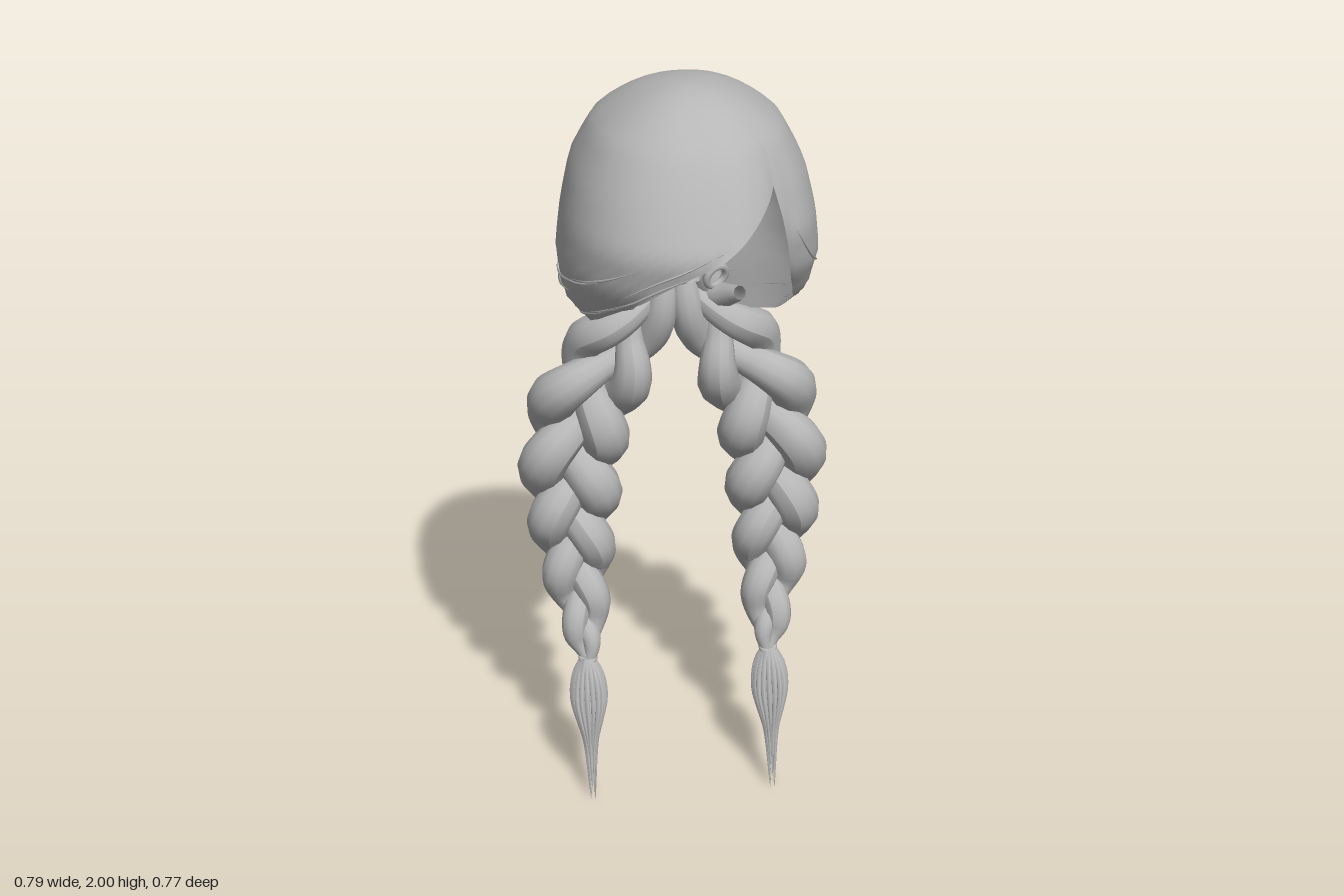
import * as THREE from 'three';

const hair = new THREE.MeshStandardMaterial({ color: 0xb6b6b6, side: THREE.DoubleSide });
hair.name = 'grey hair';

// Linear lookup in rows of [key, a, b, ...] with rising keys
function lookup(rows, key) {
  let i = 0;
  while (i < rows.length - 2 && key > rows[i + 1][0]) i++;
  const a = rows[i], b = rows[i + 1];
  const t = THREE.MathUtils.clamp((key - a[0]) / (b[0] - a[0]), 0, 1);
  return a.slice(1).map((v, j) => v + (b[j + 1] - v) * t);
}

// Surface from a grid of points, (cols + 1) x (rows + 1)
function gridGeometry(cols, rows, pointAt) {
  const pos = [], index = [];
  for (let i = 0; i <= cols; i++) {
    for (let j = 0; j <= rows; j++) {
      pos.push(...pointAt(i / cols, j / rows).toArray());
      if (i < cols && j < rows) {
        const a = i * (rows + 1) + j, b = a + rows + 1;
        index.push(a, a + 1, b, b, a + 1, b + 1);
      }
    }
  }
  const g = new THREE.BufferGeometry();
  g.setAttribute('position', new THREE.Float32BufferAttribute(pos, 3));
  g.setIndex(index);
  g.computeVertexNormals();
  return g;
}

// Round strand along a list of points, radius varying with t
function strandGeometry(points, steps, sides, radiusAt) {
  const curve = new THREE.CatmullRomCurve3(points);
  const g = new THREE.TubeGeometry(curve, steps, 1, sides, false);
  const p = g.attributes.position, v = new THREE.Vector3();
  for (let i = 0; i <= steps; i++) {
    const c = curve.getPointAt(i / steps), r = radiusAt(i / steps);
    for (let j = 0; j <= sides; j++) {
      const k = i * (sides + 1) + j;
      v.fromBufferAttribute(p, k).sub(c).multiplyScalar(r).add(c);
      p.setXYZ(k, v.x, v.y, v.z);
    }
  }
  g.computeVertexNormals();
  return g;
}

function add(parent, name, geometry) {
  const m = new THREE.Mesh(geometry, hair);
  m.name = name;
  parent.add(m);
  return m;
}

// Cap sections: depth below crown, half width, front z, back z
const sections = [
  [0, 0, 0.06, 0.06], [0.03, 0.115, 0.18, -0.1], [0.1, 0.21, 0.265, -0.225],
  [0.2, 0.262, 0.33, -0.305], [0.3, 0.285, 0.38, -0.326], [0.4, 0.297, 0.355, -0.32],
  [0.5, 0.285, 0.26, -0.3], [0.6, 0.222, 0.14, -0.305], [0.66, 0.168, 0.04, -0.325], [0.72, 0.115, -0.08, -0.335],
].map(([d, ...r]) => [Math.sqrt(d), ...r]);

// Height of the rim by angle from the front, starting and ending at the parting
const rim = [
  [40, 1.82], [52, 1.6], [66, 1.465], [95, 1.35], [140, 1.3], [180, 1.28], [220, 1.3],
  [265, 1.35], [290, 1.42], [312, 1.49], [329, 1.56], [345, 1.63], [368, 1.71], [400, 1.82],
];

// How far the hair is drawn in beside the parting, by the same angle
const tuck = [[40, 0.06], [52, 0.14], [66, 0.08], [85, 0], [375, 0], [400, 0.06]];

function capPoint(u, v, swell = 1) {
  const deg = 40 + 360 * u, a = THREE.MathUtils.degToRad(deg);
  const drop = (2 - lookup(rim, deg)[0]) * (1 - Math.cos(v * Math.PI / 2));
  const [w, front, back] = lookup(sections, Math.sqrt(drop));
  const zc = (front + back) / 2, d = (front - back) / 2;
  const s = swell * (1 - v * v * lookup(tuck, deg)[0]);
  const pow = (t) => Math.sign(t) * Math.abs(t) ** 0.87;
  return new THREE.Vector3(w * s * pow(Math.sin(a)), 2 - drop, zc + d * s * pow(Math.cos(a)));
}

function buildCap() {
  const cap = new THREE.Group();
  cap.name = 'hairCap';
  add(cap, 'capShell', gridGeometry(96, 28, (u, v) => capPoint(u, v)));
  // Loose hairs lying along the lower edge
  for (let i = 0; i < 26; i++) {
    const u0 = 0.04 + (i * 0.618 % 1) * 0.78, v0 = 0.8 + (i * 0.37 % 1) * 0.17;
    const pts = [0, 1, 2, 3].map((k) => capPoint(u0 + k * 0.035, v0 + k * 0.01, 1.008 + 0.004 * (i % 3)));
    add(cap, 'looseHair', strandGeometry(pts, 10, 4, (t) => 0.0025 * Math.sin(Math.PI * t) + 0.0003));
  }
  return cap;
}

// Centre line of the left braid
const braidLine = new THREE.CatmullRomCurve3([
  [0.035, 1.39, -0.27], [0.11, 1.25, -0.265], [0.2, 1.1, -0.285], [0.25, 0.95, -0.295],
  [0.26, 0.8, -0.295], [0.253, 0.6, -0.28], [0.24, 0.45, -0.22], [0.235, 0.365, -0.18],
].map((p) => new THREE.Vector3(...p)));

const spread = [[0, 0.03], [0.1, 0.05], [0.2, 0.075], [0.33, 0.08], [0.55, 0.072], [0.8, 0.047], [0.95, 0.024], [1, 0.005]];
const fullness = [[0, 0.035], [0.2, 0.048], [0.35, 0.058], [0.6, 0.058], [0.8, 0.046], [0.95, 0.029], [1, 0.014]];

function buildBraid(side) {
  const braid = new THREE.Group();
  braid.name = side > 0 ? 'leftBraid' : 'rightBraid';
  const angle = (s, k) => 2 * Math.PI * (-2 + 5 * s + 1.4 * s * s - k) / 3;

  // Three woven strands
  for (let k = 0; k < 3; k++) {
    const pts = [];
    for (let i = 0; i <= 40; i++) {
      const s = i / 40, a = angle(s, k), [w] = lookup(spread, s);
      const c = braidLine.getPointAt(s), t = braidLine.getTangentAt(s);
      const out = new THREE.Vector3(-t.y, t.x, 0).normalize();
      c.addScaledVector(out, w * Math.cos(a));
      c.z -= 0.46 * w * Math.sin(2 * a);
      pts.push(new THREE.Vector3(c.x * side, c.y, c.z));
    }
    add(braid, 'braidStrand', strandGeometry(pts, 110, 12,
      (s) => lookup(fullness, s)[0] * (0.8 + 0.28 * Math.abs(Math.cos(angle(s, k))))));
  }

  // Hair tie
  const tie = add(braid, 'hairTie', new THREE.TorusGeometry(0.017, 0.008, 8, 16));
  tie.position.set(0.235 * side, 0.367, -0.181);
  tie.rotation.x = Math.PI / 2 + 0.4;

  // Tassel: a slim core wrapped in fine locks of uneven length
  const lock = (r, a, end) => [
    [0.365, -0.18, 0.25], [0.325, -0.167, 0.8], [0.265, -0.15, 1], [0.2, -0.125, 0.65], [0.16, -0.112, 0.4],
    [end, -0.065 - end * 0.3, 0.12],
  ].map(([y, z, f]) => new THREE.Vector3(
    side * (0.237 + r * f * Math.cos(a)), y, z + r * f * Math.sin(a)));
  add(braid, 'tasselCore', strandGeometry(lock(0, 0, 0.06), 24, 10,
    (t) => 0.005 + 0.028 * Math.sin(Math.PI * Math.min(1, t * 1.25)) ** 1.2 * (1 - t * 0.5)));
  for (let i = 0; i < 18; i++) {
    add(braid, 'tasselLock', strandGeometry(lock(0.043, i * Math.PI / 9, (i * 5 % 9) * 0.015), 18, 5,
      (t) => 0.0085 * (1 - t) ** 0.8 + 0.0008));
  }
  return braid;
}

// Small twists where the hair is gathered at the nape
function buildKnot() {
  const knot = new THREE.Group();
  knot.name = 'napeKnot';
  for (const side of [-1, 1]) {
    for (let i = 0; i < 2; i++) {
      const loop = add(knot, 'knotLoop', new THREE.TorusGeometry(0.028, 0.009, 8, 18));
      loop.position.set(side * (0.045 + 0.055 * i), 1.4, -0.26 + 0.02 * i);
      loop.rotation.set(0.3, side * 0.5, 0);
    }
    const pts = [[0.15, 1.38, -0.18], [0.115, 1.35, -0.24], [0.06, 1.33, -0.295], [-0.02, 1.305, -0.31]]
      .map(([x, y, z]) => new THREE.Vector3(side * x, y, z));
    add(knot, 'napeLock', strandGeometry(pts, 16, 8, (t) => 0.018 + 0.016 * Math.sin(Math.PI * t)));
  }
  return knot;
}

export function createModel() {
  const model = new THREE.Group();
  model.name = 'braidedHair';
  model.add(buildCap(), buildKnot(), buildBraid(1), buildBraid(-1));
  return model;
}
